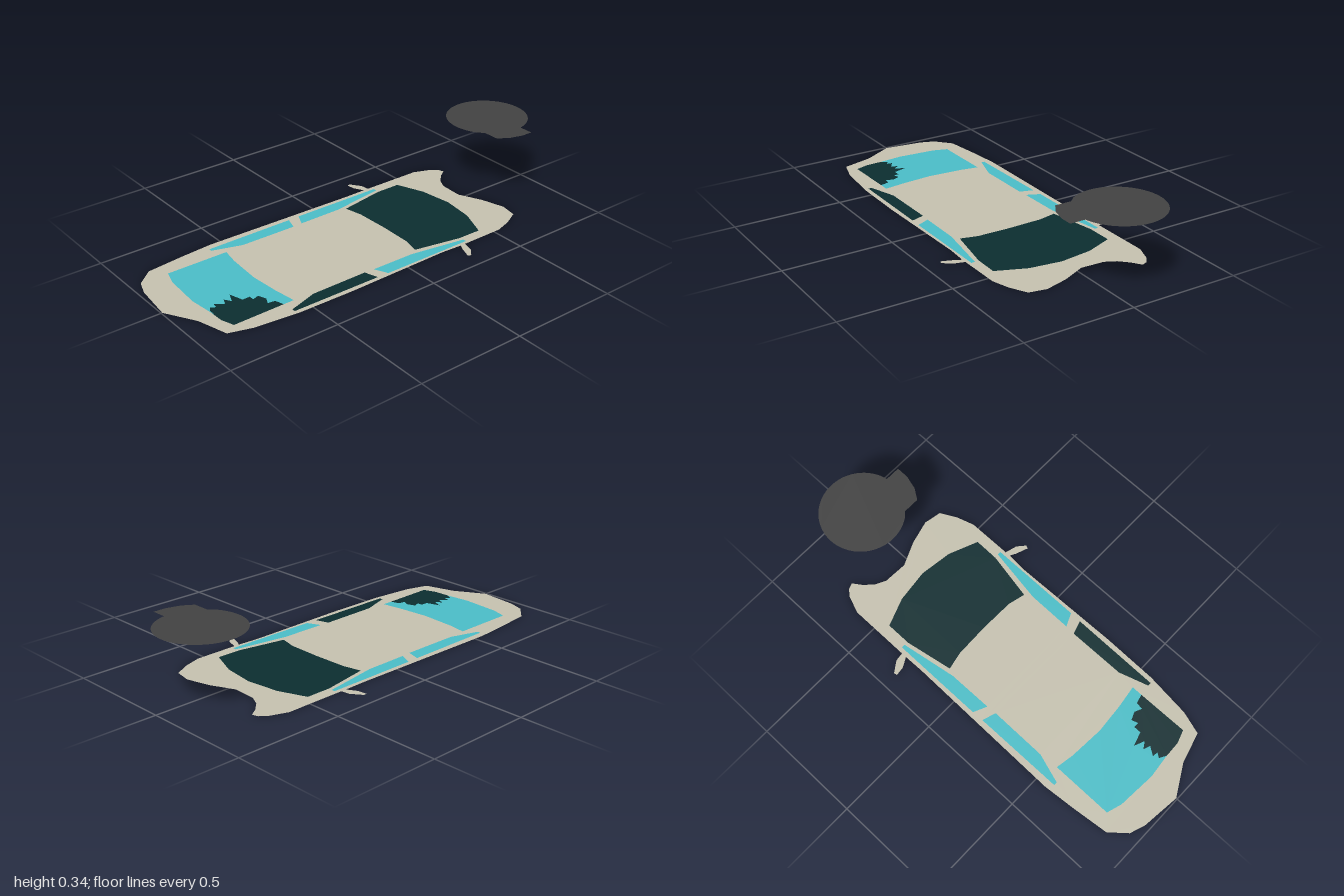
import * as THREE from 'three';

const material = (color) => new THREE.MeshStandardMaterial({ color, side: THREE.DoubleSide });

// Plan outlines are lists of [x, z]; the sheet is laid flat facing up.
const toVec = (pts) => pts.map(([x, z]) => new THREE.Vector2(x, -z));
const mirror = (pts) => pts.map(([x, z]) => [-x, z]).reverse();

function addSheet(group, name, shape, mat, y = 0) {
  const mesh = new THREE.Mesh(new THREE.ShapeGeometry(shape, 48).rotateX(-Math.PI / 2), mat);
  mesh.name = name;
  mesh.position.y = y;
  group.add(mesh);
}

// Body edge including the two wing mirrors and the dented ends
const bodyOutline = [
  [-0.03, -0.62], [0.08, -0.67], [0.19, -0.70], [0.27, -0.685], [0.31, -0.61], [0.335, -0.53],
  [0.336, -0.325], [0.39, -0.31], [0.425, -0.28], [0.42, -0.265], [0.365, -0.285], [0.336, -0.30],
  [0.33, -0.2], [0.34, 0.3], [0.337, 0.56], [0.315, 0.77], [0.283, 0.875], [0.14, 0.915],
  [0, 0.995], [-0.18, 0.975], [-0.25, 0.95], [-0.315, 0.875], [-0.335, 0.70], [-0.348, 0.55],
  [-0.338, -0.2], [-0.34, -0.30], [-0.385, -0.275], [-0.427, -0.27], [-0.43, -0.285],
  [-0.38, -0.32], [-0.34, -0.325], [-0.34, -0.61], [-0.31, -0.69], [-0.285, -0.72],
  [-0.257, -0.73], [-0.23, -0.69], [-0.19, -0.65], [-0.14, -0.625],
];

const largeWindow = [
  [-0.285, -0.46], [-0.155, -0.51], [0, -0.53], [0.15, -0.51], [0.285, -0.455], [0.283, -0.34],
  [0.24, -0.12], [0.16, -0.14], [0, -0.143], [-0.16, -0.138], [-0.245, -0.12], [-0.285, -0.34],
];
const sideLong = [[0.303, -0.345], [0.32, -0.345], [0.32, 0.095], [0.258, 0.123], [0.26, -0.085]];
const sideShort = [[0.318, 0.15], [0.316, 0.575], [0.30, 0.575], [0.257, 0.44], [0.255, 0.17]];

// Window split by a jagged break: glass edge, break line, missing corner
const glassEdge = [
  [0.14, 0.84], [0, 0.855], [-0.18, 0.842], [-0.25, 0.82], [-0.25, 0.53], [-0.165, 0.545],
  [0, 0.556], [0.14, 0.545], [0.247, 0.53],
];
const breakLine = [
  [0.247, 0.58], [0.205, 0.592], [0.20, 0.625], [0.167, 0.61], [0.13, 0.625], [0.14, 0.655],
  [0.115, 0.655], [0.115, 0.69], [0.05, 0.71], [0.098, 0.73], [0.067, 0.75], [0.098, 0.762],
  [0.072, 0.80], [0.098, 0.804], [0.083, 0.825], [0.115, 0.843],
];
const corner = [[0.19, 0.84], [0.25, 0.82]];

export function createModel() {
  const group = new THREE.Group();
  const paint = material(0xc8c4b2);
  const glass = material(0x4cc0ca);
  const dark = material(0x0c2e31);
  const grey = material(0x434343);

  // Window panes fill the openings of the body sheet
  const panes = [
    ['largeWindow', largeWindow, dark],
    ['leftLongWindow', sideLong, glass],
    ['rightLongWindow', mirror(sideLong), glass],
    ['leftShortWindow', sideShort, dark],
    ['rightShortWindow', mirror(sideShort), glass],
    ['brokenWindowGlass', [...glassEdge, ...breakLine], glass],
    ['brokenWindowGap', [...breakLine, ...corner], dark],
  ];
  for (const [name, pts, mat] of panes) addSheet(group, name, new THREE.Shape(toVec(pts)), mat);

  // Body sheet with the openings cut out
  const body = new THREE.Shape(toVec(bodyOutline));
  const brokenOpening = [...glassEdge, breakLine[0], ...corner.slice().reverse(), breakLine.at(-1)];
  const openings = [largeWindow, sideLong, mirror(sideLong), sideShort, mirror(sideShort)];
  openings.push([...glassEdge, breakLine[0], corner[1], corner[0], breakLine.at(-1)]);
  body.holes = openings.map((pts) => new THREE.Path(toVec(pts)));
  addSheet(group, 'body', body, paint);

  // Raised round disc with a tab on its side
  const disc = new THREE.Shape();
  disc.absarc(-0.061, 0.812, 0.19, 0.18, Math.PI * 2 - 0.98, false);
  for (const p of toVec([[0.07, -0.677], [0.145, -0.677], [0.177, -0.725], [0.195, -0.79], [0.195, -0.846]])) {
    disc.lineTo(p.x, p.y);
  }
  addSheet(group, 'disc', disc, grey, 0.336);

  return group;
}
